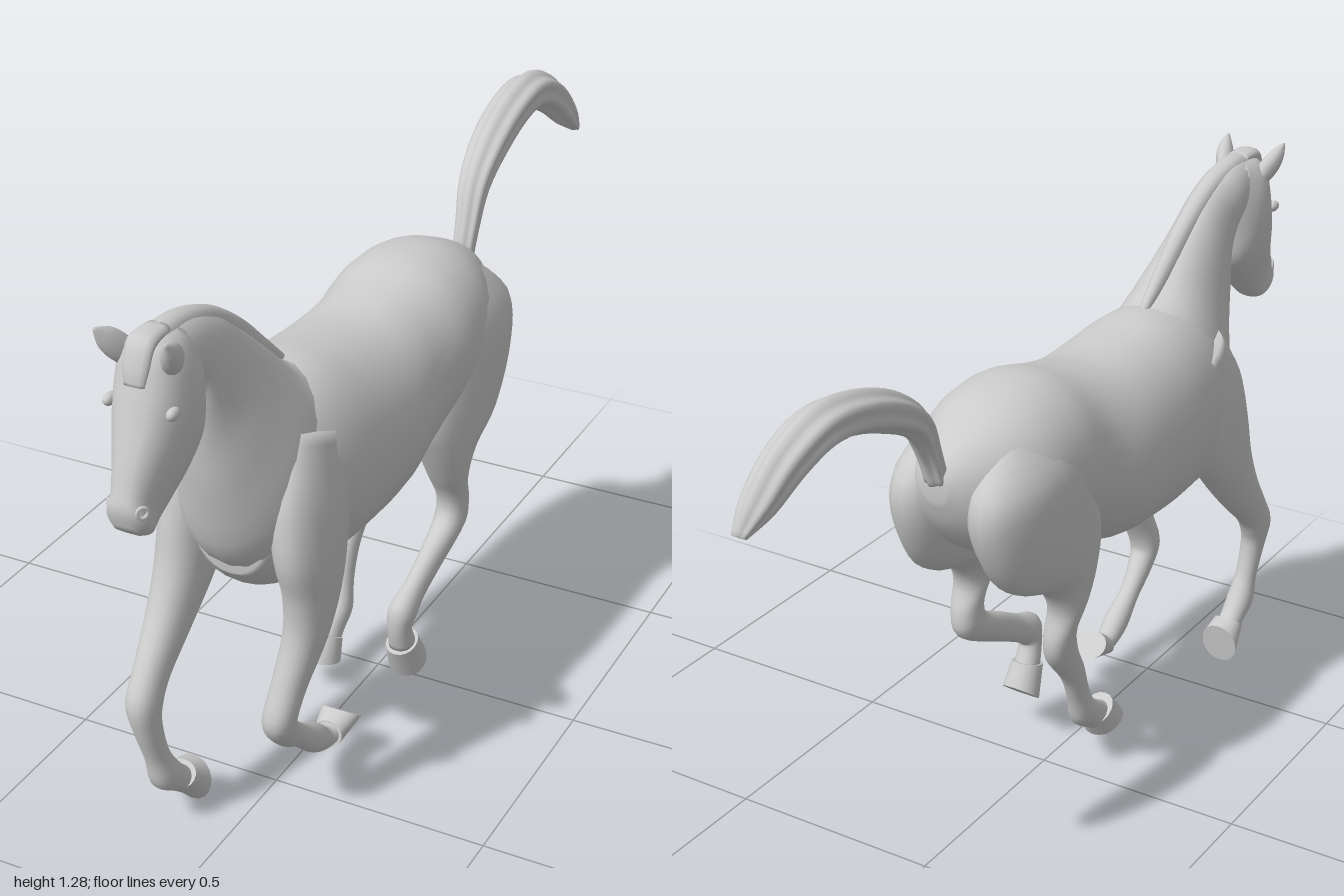
import * as THREE from 'three';
import { toCreasedNormals } from 'three/addons/utils/BufferGeometryUtils.js';

const material = new THREE.MeshStandardMaterial({ color: 0xcccccc });

// Catmull-Rom blend of one number
const blend = (a, b, c, d, t) =>
  0.5 * (2 * b + (c - a) * t + (2 * a - 5 * b + 4 * c - d) * t * t + (3 * b - a - 3 * c + d) * t ** 3);

// Skin over cross-sections [cx, aZ, aY, bZ, bY, halfWidth]; a and b are opposite rim points in the YZ plane
function loft(sections, { sub = 4, sides = 24, power = 0.9, ridge = 0, crease = 0 } = {}) {
  const rows = [];
  const last = sections.length - 1;
  for (let i = 0; i < last; i++) {
    for (let k = 0; k < sub; k++) {
      const s = [i - 1, i, i + 1, i + 2].map((n) => sections[Math.min(last, Math.max(0, n))]);
      rows.push(s[1].map((_, c) => blend(s[0][c], s[1][c], s[2][c], s[3][c], k / sub)));
    }
  }
  rows.push(sections[last]);

  const pos = [];
  const index = [];
  for (const [cx, az, ay, bz, by, w] of rows) {
    for (let j = 0; j < sides; j++) {
      const t = (j / sides) * Math.PI * 2;
      const bump = 1 + ridge * Math.cos(t * 6);
      const s = Math.sign(Math.sin(t)) * Math.abs(Math.sin(t)) ** power * bump;
      const c = Math.cos(t) * bump;
      pos.push(cx + w * s, (ay + by) / 2 + ((ay - by) / 2) * c, (az + bz) / 2 + ((az - bz) / 2) * c);
    }
  }
  for (let i = 0; i < rows.length - 1; i++) {
    for (let j = 0; j < sides; j++) {
      const a = i * sides + j;
      const b = i * sides + ((j + 1) % sides);
      index.push(a, b, a + sides, b, b + sides, a + sides);
    }
  }
  // End caps
  [0, rows.length - 1].forEach((r, end) => {
    const [cx, az, ay, bz, by] = rows[r];
    const centre = pos.length / 3;
    pos.push(cx, (ay + by) / 2, (az + bz) / 2);
    for (let j = 0; j < sides; j++) {
      const a = r * sides + j;
      const b = r * sides + ((j + 1) % sides);
      index.push(centre, end ? a : b, end ? b : a);
    }
  });
  // Turn the skin outward if its enclosed volume is negative
  let volume = 0;
  const p = (n) => new THREE.Vector3().fromArray(pos, n * 3);
  for (let i = 0; i < index.length; i += 3) volume += p(index[i]).dot(p(index[i + 1]).cross(p(index[i + 2])));
  if (volume < 0) index.reverse();

  const geo = new THREE.BufferGeometry();
  geo.setAttribute('position', new THREE.Float32BufferAttribute(pos, 3));
  geo.setIndex(index);
  geo.computeVertexNormals();
  return crease ? toCreasedNormals(geo, crease) : geo;
}

// Turn a centre line of [x, y, z, radius, halfWidth] into loft sections square to the line
function along(points) {
  return points.map(([x, y, z, r, w], i) => {
    const p = points[Math.max(0, i - 1)];
    const q = points[Math.min(points.length - 1, i + 1)];
    const len = Math.hypot(q[1] - p[1], q[2] - p[2]);
    const nz = ((q[1] - p[1]) / len) * r;
    const ny = (-(q[2] - p[2]) / len) * r;
    return [x, z + nz, y + ny, z - nz, y - ny, w];
  });
}

export function createModel() {
  const horse = new THREE.Group();
  horse.name = 'gallopingHorse';
  const add = (name, geo) => {
    const mesh = new THREE.Mesh(geo, material);
    mesh.name = name;
    horse.add(mesh);
    return mesh;
  };

  // Torso: z, top, bottom, half width, centre x
  add('torso', loft([
    [0.64, 0.88, 0.62, 0.09, -0.015], [0.58, 0.96, 0.56, 0.145, -0.02], [0.5, 1.0, 0.53, 0.17, -0.02],
    [0.4, 1.015, 0.52, 0.183, -0.015], [0.28, 1.0, 0.525, 0.19, -0.01], [0.15, 0.99, 0.54, 0.193, -0.005],
    [0.03, 1.01, 0.585, 0.178, 0.005], [-0.08, 1.037, 0.63, 0.185, 0.01], [-0.2, 1.03, 0.66, 0.175, 0.01],
    [-0.3, 0.992, 0.7, 0.135, 0.01], [-0.37, 0.95, 0.78, 0.075, 0.015], [-0.4, 0.91, 0.85, 0.03, 0.02],
  ].map(([z, top, bottom, w, cx]) => [cx, z, top, z, bottom, w]), { sides: 32 }));

  add('neckAndChest', loft([
    [-0.01, 0.36, 1.0, 0.58, 0.59, 0.14], [-0.015, 0.44, 1.02, 0.68, 0.68, 0.14],
    [-0.015, 0.52, 1.09, 0.73, 0.84, 0.1], [-0.02, 0.6, 1.165, 0.748, 0.95, 0.075],
    [-0.02, 0.68, 1.225, 0.757, 1.03, 0.062], [-0.025, 0.77, 1.26, 0.77, 1.1, 0.06],
    [-0.025, 0.86, 1.265, 0.82, 1.1, 0.055],
  ]));

  add('head', loft([
    [-0.025, 0.82, 1.262, 0.75, 1.15, 0.05], [-0.025, 0.9, 1.25, 0.76, 1.09, 0.074],
    [-0.025, 0.93, 1.18, 0.775, 1.02, 0.08], [-0.025, 0.952, 1.11, 0.82, 0.965, 0.07],
    [-0.025, 0.972, 1.05, 0.87, 0.92, 0.054], [-0.027, 0.99, 0.99, 0.905, 0.89, 0.043],
    [-0.028, 1.0, 0.95, 0.937, 0.875, 0.044], [-0.028, 0.99, 0.908, 0.965, 0.885, 0.026],
  ], { power: 0.75 }));

  // Paired details of the head
  for (const s of [-1, 1]) {
    const side = s > 0 ? 'left' : 'right';
    const x = (d) => -0.025 + s * d;
    add(side + 'Ear', loft(along([
      [x(0.045), 1.2, 0.865, 0.022, 0.018], [x(0.058), 1.23, 0.89, 0.028, 0.022],
      [x(0.068), 1.258, 0.915, 0.021, 0.017], [x(0.075), 1.282, 0.938, 0.003, 0.003],
    ]), { sides: 12 }));
    const eye = add(side + 'Eye', new THREE.SphereGeometry(0.016, 14, 10));
    eye.scale.set(0.7, 0.8, 1.2);
    eye.position.set(x(0.068), 1.13, 0.912);
    const nostril = add(side + 'Nostril', new THREE.TorusGeometry(0.011, 0.004, 8, 14));
    nostril.position.set(x(0.036), 0.95, 0.983);
    nostril.rotation.y = s * 0.9;
  }

  add('mane', loft(along([
    [-0.012, 1.0, 0.41, 0.012, 0.01], [-0.012, 1.075, 0.51, 0.025, 0.02], [-0.016, 1.155, 0.6, 0.027, 0.024],
    [-0.02, 1.22, 0.7, 0.025, 0.026], [-0.023, 1.248, 0.8, 0.024, 0.028], [-0.025, 1.245, 0.89, 0.024, 0.028],
  ]), { sides: 12 }));
  add('forelock', loft(along([
    [-0.025, 1.26, 0.84, 0.012, 0.026], [-0.025, 1.255, 0.9, 0.016, 0.03],
    [-0.025, 1.215, 0.922, 0.013, 0.028], [-0.025, 1.18, 0.932, 0.008, 0.022],
  ]), { sides: 12, power: 0.7 }));

  // Raised tail with long strands
  add('tail', loft(along([
    [0.02, 0.9, -0.39, 0.022, 0.024], [0.02, 0.97, -0.415, 0.024, 0.026], [0.012, 1.06, -0.47, 0.032, 0.034],
    [0.005, 1.125, -0.57, 0.04, 0.042], [0.003, 1.17, -0.69, 0.042, 0.045], [0.005, 1.18, -0.8, 0.044, 0.046],
    [0.015, 1.14, -0.89, 0.042, 0.042], [0.03, 1.075, -0.955, 0.03, 0.034], [0.045, 1.025, -0.995, 0.008, 0.016],
  ]), { sides: 36, ridge: 0.1 }));

  // Forelegs, from shoulder blade to pastern
  add('leftForeleg', loft(along([
    [0.085, 0.9, 0.47, 0.1, 0.05], [0.1, 0.78, 0.51, 0.125, 0.065], [0.115, 0.66, 0.535, 0.115, 0.06],
    [0.12, 0.56, 0.54, 0.085, 0.052], [0.115, 0.46, 0.565, 0.058, 0.044], [0.1, 0.36, 0.61, 0.042, 0.037],
    [0.09, 0.285, 0.635, 0.042, 0.036], [0.085, 0.235, 0.605, 0.033, 0.03], [0.08, 0.18, 0.54, 0.026, 0.024],
    [0.08, 0.13, 0.475, 0.033, 0.03], [0.08, 0.1, 0.43, 0.026, 0.026], [0.082, 0.1, 0.395, 0.026, 0.03],
  ])));
  add('rightForeleg', loft(along([
    [-0.12, 0.9, 0.47, 0.1, 0.05], [-0.13, 0.78, 0.52, 0.125, 0.065], [-0.14, 0.67, 0.56, 0.11, 0.063],
    [-0.145, 0.57, 0.61, 0.08, 0.056], [-0.15, 0.48, 0.67, 0.06, 0.046], [-0.15, 0.4, 0.74, 0.047, 0.037],
    [-0.15, 0.34, 0.776, 0.046, 0.036], [-0.145, 0.28, 0.776, 0.034, 0.029], [-0.14, 0.2, 0.756, 0.028, 0.026],
    [-0.137, 0.14, 0.735, 0.037, 0.032], [-0.135, 0.1, 0.695, 0.03, 0.029], [-0.135, 0.07, 0.66, 0.03, 0.03],
  ])));

  // Hind legs: shared haunch, then each leg's own hock, cannon and pastern
  const haunch = (s) => [
    [0.07, -0.05, 0.985, -0.28, 0.97, 0.05], [0.095, 0.0, 0.89, -0.385, 0.87, 0.085],
    [0.1, 0.02, 0.77, -0.385, 0.76, 0.092], [0.108, 0.035, 0.68, -0.31, 0.63, 0.08],
    [0.12, 0.01, 0.61, -0.18, 0.57, 0.06], [0.125, -0.03, 0.53, -0.135, 0.5, 0.045],
  ].map(([x, ...rest]) => [0.01 + s * x, ...rest]);
  add('leftHindLeg', loft([
    ...haunch(1),
    [0.135, -0.068, 0.46, -0.155, 0.43, 0.036], [0.133, -0.06, 0.405, -0.14, 0.365, 0.035],
    [0.13, 0.02, 0.36, -0.02, 0.3, 0.027], [0.127, 0.09, 0.322, 0.055, 0.262, 0.025],
    [0.125, 0.155, 0.292, 0.1, 0.235, 0.031], [0.122, 0.165, 0.235, 0.105, 0.22, 0.027],
    [0.12, 0.15, 0.17, 0.085, 0.18, 0.03],
  ]));
  add('rightHindLeg', loft([
    ...haunch(-1),
    [-0.107, -0.06, 0.455, -0.145, 0.425, 0.036], [-0.1, -0.045, 0.385, -0.13, 0.365, 0.034],
    [-0.097, -0.005, 0.31, -0.065, 0.285, 0.027], [-0.094, 0.022, 0.24, -0.03, 0.21, 0.025],
    [-0.09, 0.052, 0.185, -0.005, 0.14, 0.031], [-0.087, 0.09, 0.155, 0.04, 0.105, 0.028],
    [-0.085, 0.13, 0.13, 0.07, 0.085, 0.03],
  ]));

  // Hooves: coronet section and flat sole section
  const hooves = {
    leftForeHoof: [[0.082, 0.415, 0.067, 0.405, 0.128, 0.034], [0.085, 0.318, 0.098, 0.38, 0.146, 0.046]],
    rightForeHoof: [[-0.135, 0.7, 0.075, 0.655, 0.118, 0.037], [-0.135, 0.637, 0.003, 0.62, 0.108, 0.047]],
    leftHindHoof: [[0.12, 0.158, 0.165, 0.08, 0.192, 0.036], [0.118, 0.12, 0.083, 0.05, 0.14, 0.046]],
    rightHindHoof: [[-0.085, 0.14, 0.145, 0.06, 0.1, 0.036], [-0.083, 0.185, 0.095, 0.085, 0.058, 0.045]],
  };
  for (const [name, rims] of Object.entries(hooves)) add(name, loft(rims, { sub: 1, sides: 18, crease: 0.7 }));

  return horse;
}
